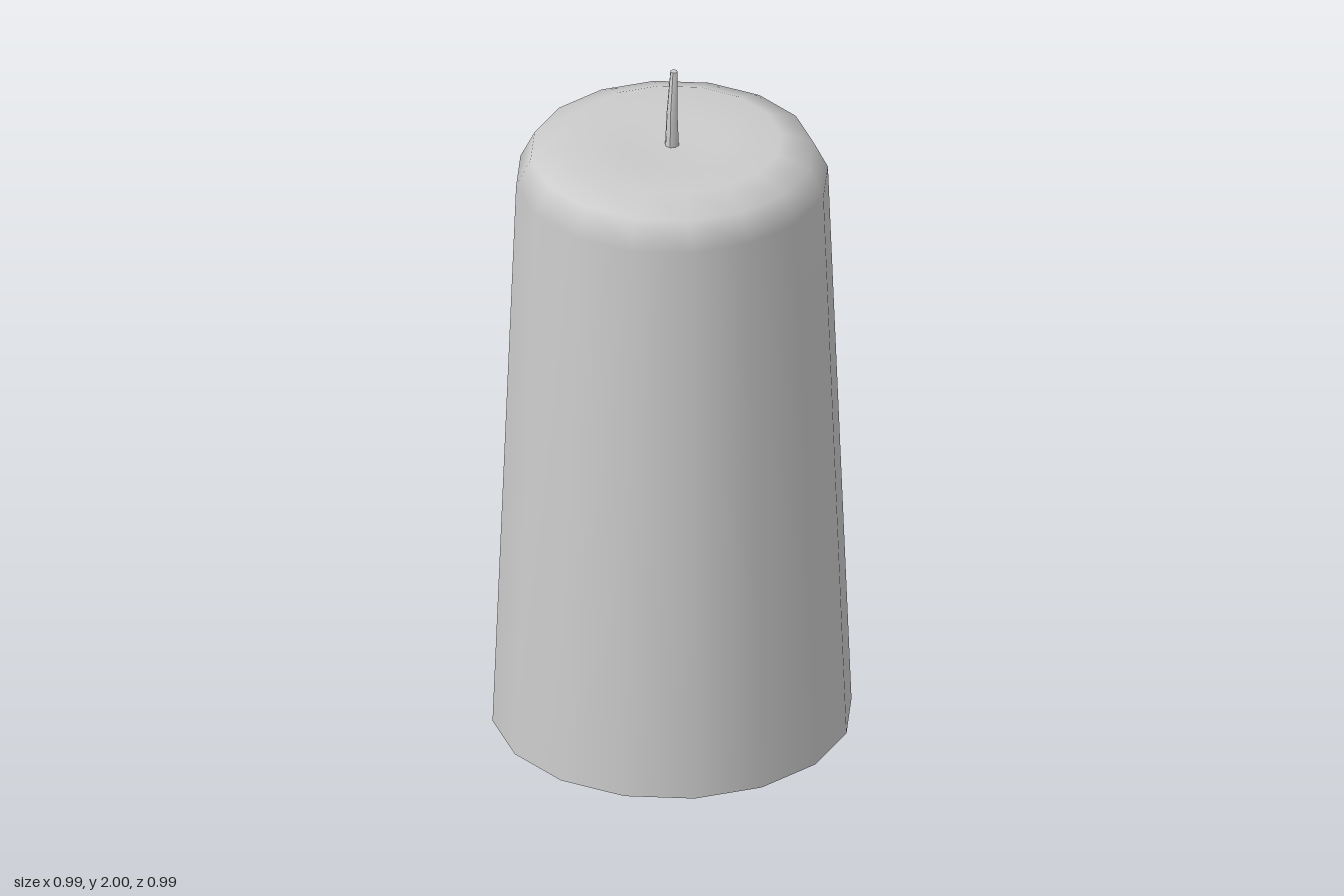
import * as THREE from 'three';

const SIDES = 16;

export function createModel() {
  const model = new THREE.Group();
  model.name = 'candle';
  const material = new THREE.MeshStandardMaterial({ color: 0xcccccc });

  const add = (name, geometry) => {
    const mesh = new THREE.Mesh(geometry, material);
    mesh.name = name;
    model.add(mesh);
    return mesh;
  };

  // Tapered wax body with a rounded shoulder and a shallow dip around the wick
  const profile = [
    [0.495, 0], [0.43, 1.68], [0.39, 1.76], [0.3, 1.795], [0.14, 1.782], [0, 1.78],
  ].map(([r, y]) => new THREE.Vector2(r, y));
  add('waxBody', new THREE.LatheGeometry(profile, SIDES));

  // Flat underside with a hard edge
  add('base', new THREE.CircleGeometry(0.495, SIDES).rotateX(Math.PI / 2));

  // Wick: a thin tapered cylinder whose upper half leans to the back
  const bottom = 1.77, top = 2;
  const wick = new THREE.CylinderGeometry(0.01, 0.02, top - bottom, 8, 4);
  wick.translate(0, (top + bottom) / 2, 0);
  const pos = wick.attributes.position;
  for (let i = 0; i < pos.count; i++) {
    const lean = Math.max(0, pos.getY(i) - 1.88) / (top - 1.88);
    pos.setZ(i, pos.getZ(i) - 0.02 * lean);
  }
  wick.computeVertexNormals();
  add('wick', wick);

  return model;
}
